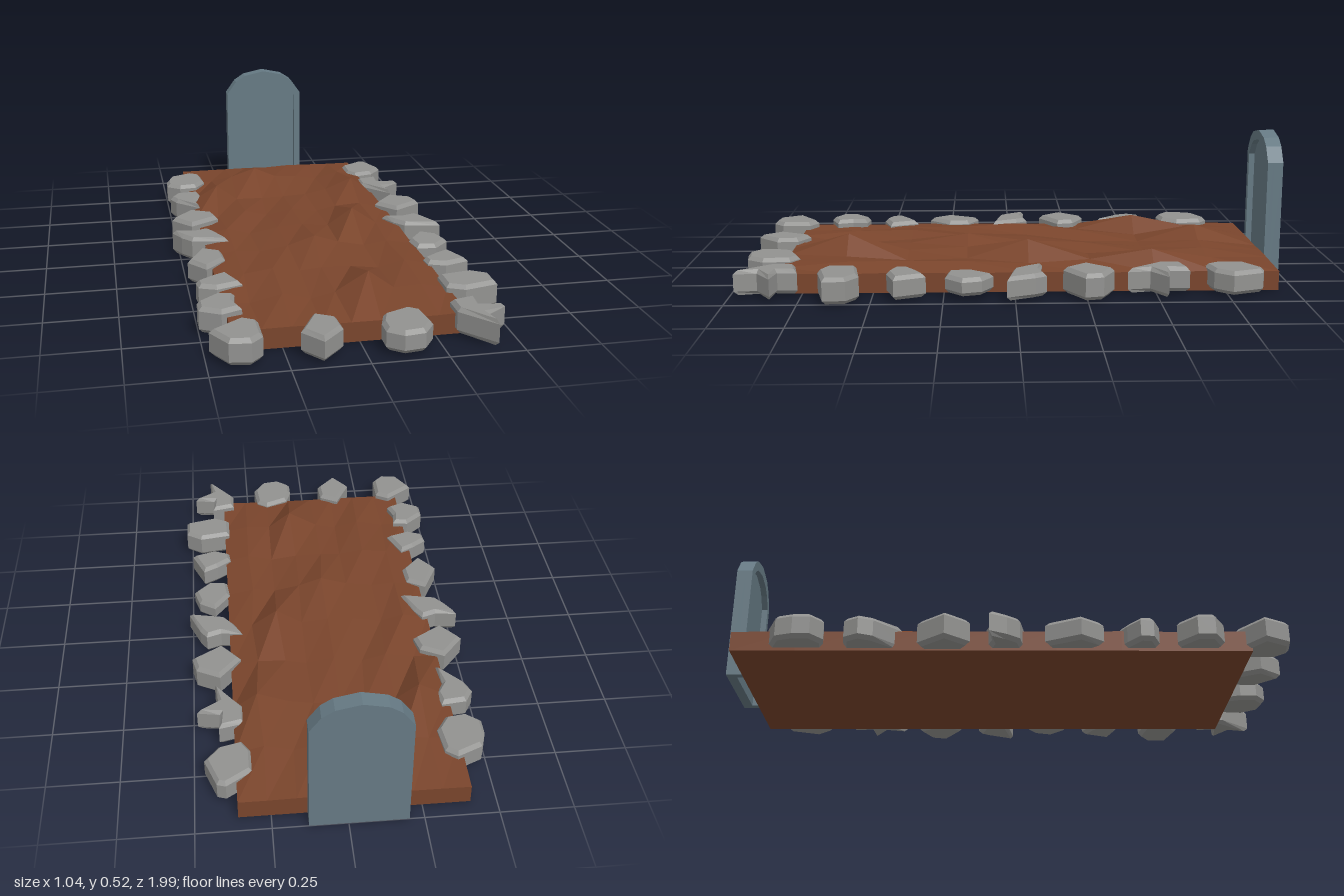
import * as THREE from 'three';

const mat = (color) => new THREE.MeshStandardMaterial({ color, flatShading: true });

// Small seeded generator for the uneven soil
function seeded(seed) {
  return () => (seed = (seed * 16807) % 2147483647) / 2147483647;
}

const toShape = (pts) => new THREE.Shape(pts.map(([x, y]) => new THREE.Vector2(x, y)));

// Soil: a thin slab whose top grid is raised into low mounds
function soilMound(material) {
  const n = 8, w = 0.77, d = 1.78, base = 0.068, rnd = seeded(77);
  const peaks = { '5,7': 0.15, '6,4': 0.148, '7,2': 0.133, '1,2': 0.13, '3,1': 0.133, '4,5': 0.125 };
  const grid = [];
  for (let j = 0; j <= n; j++) {
    for (let i = 0; i <= n; i++) {
      const inner = i > 0 && i < n && j > 0 && j < n;
      const peak = peaks[`${i},${j}`];
      const bump = rnd();
      grid.push({
        y: peak ?? base + (inner ? bump * 0.036 - 0.004 : bump * 0.006),
        dx: peak ? 0.01 : inner ? (rnd() - 0.5) * 0.02 : 0,
      });
    }
  }
  const geo = new THREE.BoxGeometry(w, base, d, n, 1, n);
  const p = geo.attributes.position;
  for (let k = 0; k < p.count; k++) {
    if (p.getY(k) < 0) continue;
    const i = Math.round((p.getX(k) / w + 0.5) * n);
    const j = Math.round((p.getZ(k) / d + 0.5) * n);
    const g = grid[j * (n + 1) + i];
    p.setXYZ(k, p.getX(k) + g.dx, g.y - base / 2, p.getZ(k));
  }
  geo.computeVertexNormals();
  const mesh = new THREE.Mesh(geo, material);
  mesh.name = 'soilMound';
  mesh.position.set(-0.027, base / 2, -0.053);
  return mesh;
}

// Headstone: arched slab with a raised rim around a sunken face
function headstone(material) {
  const arch = (half, shoulder, top) => {
    const side = [[1, 0], [0.76, 0.55], [0.51, 0.82]];
    const at = (s) => ([x, t]) => [s * x * half, shoulder + t * (top - shoulder)];
    return [[half, 0], ...side.map(at(1)), [0, top], ...side.map(at(-1)).reverse(), [-half, 0]];
  };
  const outer = arch(0.165, 0.42, 0.52);
  const inner = arch(0.139, 0.405, 0.483);
  const group = new THREE.Group();
  group.name = 'headstone';
  const add = (name, pts, depth, z) => {
    const geo = new THREE.ExtrudeGeometry(toShape(pts), { depth, bevelEnabled: false });
    const mesh = new THREE.Mesh(geo, material);
    mesh.name = name;
    mesh.position.z = z;
    group.add(mesh);
  };
  add('headstoneSlab', outer, 0.035, -1);
  add('headstoneRim', [...outer, ...inner.reverse()], 0.022, -0.965);
  group.position.x = -0.035;
  return group;
}

// Stone outlines in plan (x, z), in hundredths of a unit
const outlines = {
  pebble: [[-8, 0], [-6, -6], [3, -10], [7, -7], [8, 3], [4, 9], [-3, 10], [-8, 6]],
  cobble: [[-8, -4], [1, -10], [4, -9], [8, 2], [3, 8], [-5, 10], [-8, 5]],
  splinter: [[-8, -8], [1, -10], [0.5, -3], [8.5, -1.5], [1, 4], [2, 12], [-8, 0]],
  notched: [[-7, -4], [-4, -9], [5, -10], [6, -4], [3, 1], [4, 10], [-5, 1]],
  lump: [[-7, -2], [0, -8], [6, -7], [5, -1], [7, 5], [0, 8], [-7, 4]],
  quad: [[-9, 0], [-1, -9.5], [7.5, -5], [9, 1.5], [-2, 8.5], [-5, 5]],
  horn: [[-10, -6], [-2, -5], [3.5, -7], [6, -3], [10, 7], [-3.5, 4.5], [-7, 0]],
  drop: [[-5, -2], [-1, -10], [6, -6], [6.5, 2], [-1, 10], [-7, 2]],
  shard: [[-7, -1], [-1, -9], [5, -5], [7, 2], [1, 8], [-6, 7]],
  wedge: [[-7.5, 0], [-2, -4], [3.5, -7], [8, 4], [-1, 7], [-7, 4.5]],
  block: [[-9, -5], [3, -7], [9, -3], [9, 5], [-3, 8], [-9, 5]],
  corner: [[-8, -1], [3, -9], [8, -6], [8, 5], [4, 9], [-3, 8]],
};

// Border stones: outline, x, z, bottom, top
const stones = [
  ['pebble', -0.42, -0.72, 0.01, 0.1], ['notched', -0.43, -0.46, 0.01, 0.095],
  ['quad', -0.425, -0.21, 0.005, 0.1], ['horn', -0.425, 0, 0.01, 0.1],
  ['drop', -0.425, 0.23, 0.01, 0.095], ['wedge', -0.41, 0.45, 0.01, 0.095],
  ['lump', -0.43, 0.66, 0.01, 0.1], ['corner', -0.405, 0.88, 0.01, 0.1],
  ['drop', -0.135, 0.89, 0.01, 0.095], ['pebble', 0.138, 0.885, 0.012, 0.09],
  ['splinter', 0.395, 0.86, 0.01, 0.1], ['cobble', 0.383, -0.78, 0.01, 0.095],
  ['splinter', 0.4, -0.515, 0.01, 0.1], ['quad', 0.41, -0.255, 0.005, 0.1],
  ['horn', 0.41, -0.04, 0.01, 0.095], ['shard', 0.42, 0.165, 0.02, 0.085],
  ['wedge', 0.415, 0.38, 0.01, 0.095], ['block', 0.43, 0.61, 0.005, 0.1],
];

function borderStone([kind, x, z, bottom, top], material) {
  const bevel = 0.014;
  const pts = outlines[kind].map(([px, pz]) => [px / 100, pz / 100]);
  const geo = new THREE.ExtrudeGeometry(toShape(pts), {
    depth: top - bottom - 2 * bevel,
    bevelThickness: bevel, bevelSize: 0.012, bevelOffset: -0.012, bevelSegments: 1,
  });
  geo.rotateX(Math.PI / 2);
  const mesh = new THREE.Mesh(geo, material);
  mesh.name = 'borderStone';
  mesh.position.set(x, top - bevel, z);
  return mesh;
}

export function createModel() {
  const model = new THREE.Group();
  model.name = 'grave';
  const border = new THREE.Group();
  border.name = 'stoneBorder';
  const stoneMat = mat(0x929290);
  stones.forEach((s) => border.add(borderStone(s, stoneMat)));
  model.add(soilMound(mat(0x7a452c)), headstone(mat(0x667a84)), border);
  return model;
}
